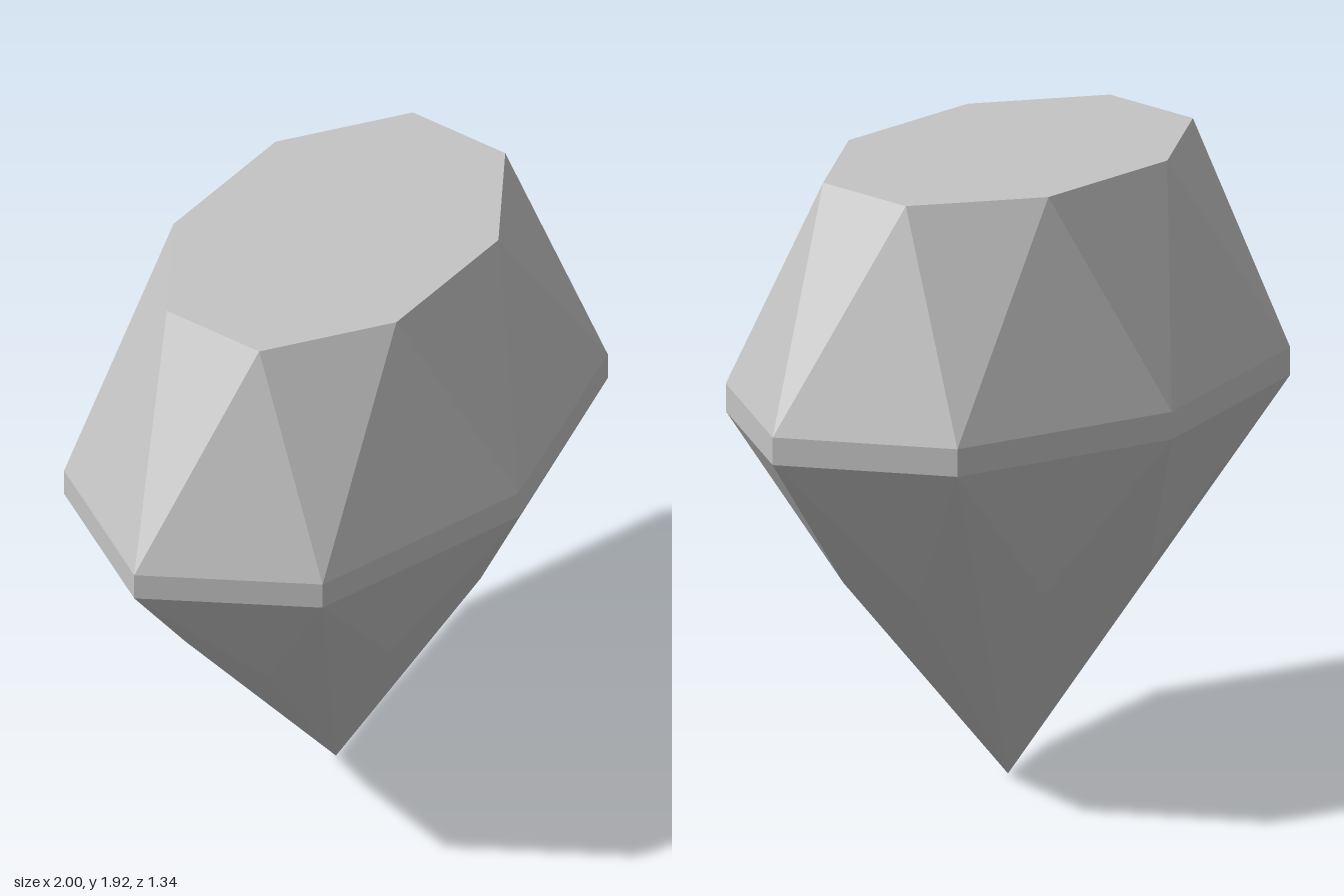
import * as THREE from 'three';

const SIDES = 8;
const DEPTH = 0.67; // oval outline: depth relative to width

// Oval ring of corners; turn is a fraction of one side
function ring(radius, y, turn) {
  return Array.from({ length: SIDES }, (_, k) => {
    const a = ((k + turn) / SIDES) * Math.PI * 2;
    return new THREE.Vector3(radius * Math.cos(a), y, radius * DEPTH * Math.sin(a));
  });
}

// Flat-faceted mesh from a list of triangles, each wound to face outward
function facets(name, triangles, material) {
  const centre = new THREE.Vector3(0, 1.2, 0);
  const points = [];
  for (const [a, b, c] of triangles) {
    const normal = b.clone().sub(a).cross(c.clone().sub(a));
    const outward = normal.dot(a.clone().sub(centre)) > 0;
    points.push(a, ...(outward ? [b, c] : [c, b]));
  }
  const geometry = new THREE.BufferGeometry().setFromPoints(points);
  geometry.computeVertexNormals();
  const mesh = new THREE.Mesh(geometry, material);
  mesh.name = name;
  return mesh;
}

export function createModel() {
  const gem = new THREE.Group();
  gem.name = 'gem';
  const stone = new THREE.MeshStandardMaterial({ color: 0xc4c4c4, flatShading: true });
  stone.name = 'grey stone';

  const top = ring(0.66, 1.925, 0.5);
  const girdleTop = ring(1, 1.262, 0);
  const girdleBottom = ring(1, 1.177, 0);
  const lower = ring(0.588, 0.68, 0.5);
  const tip = new THREE.Vector3(0, 0.003, 0);
  const topCentre = new THREE.Vector3(0, 1.925, 0);

  const table = [], crown = [], girdle = [], pavilion = [];
  for (let k = 0; k < SIDES; k++) {
    const n = (k + 1) % SIDES;
    // flat top
    table.push([topCentre, top[k], top[n]]);
    // alternating facets above the girdle
    crown.push([girdleTop[k], girdleTop[n], top[k]], [girdleTop[n], top[k], top[n]]);
    // upright band
    girdle.push(
      [girdleBottom[k], girdleBottom[n], girdleTop[n]],
      [girdleBottom[k], girdleTop[n], girdleTop[k]],
    );
    // short facets under the girdle and long facets down to the tip
    pavilion.push(
      [girdleBottom[k], girdleBottom[n], lower[k]],
      [girdleBottom[k], lower[k], tip],
      [girdleBottom[n], lower[k], tip],
    );
  }

  gem.add(
    facets('table', table, stone),
    facets('crown', crown, stone),
    facets('girdle', girdle, stone),
    facets('pavilion', pavilion, stone),
  );
  return gem;
}
